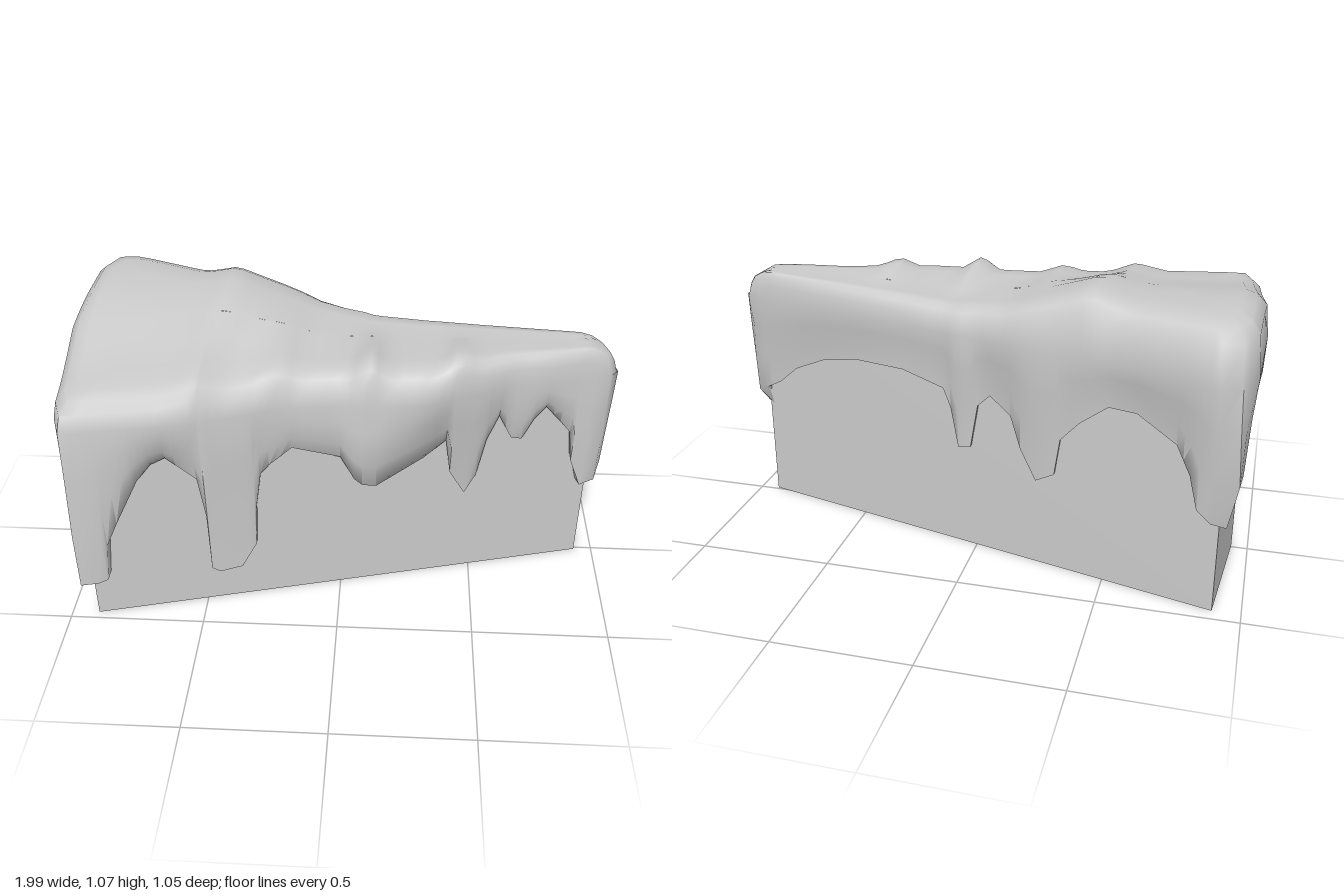
import * as THREE from 'three';
import { toCreasedNormals } from 'three/addons/utils/BufferGeometryUtils.js';

const SLOPE = 0.2514, TIP = 0.93, MID = 0.01;
const { lerp, clamp, smoothstep } = THREE.MathUtils;

// piecewise linear lookup in [x, value] pairs sorted by x
function lookup(pairs, x) {
  if (x <= pairs[0][0]) return pairs[0][1];
  for (let i = 1; i < pairs.length; i++) {
    const [x0, v0] = pairs[i - 1], [x1, v1] = pairs[i];
    if (x <= x1) return lerp(v0, v1, (x - x0) / (x1 - x0));
  }
  return pairs[pairs.length - 1][1];
}

// lower edge of the icing along each wall: [position, height]
const frontEdge = [
  [-0.87, 0.18], [-0.835, 0.19], [-0.82, 0.35], [-0.78, 0.44], [-0.7, 0.6], [-0.65, 0.66], [-0.6, 0.68],
  [-0.5, 0.58], [-0.475, 0.42], [-0.47, 0.17], [-0.44, 0.15], [-0.36, 0.16], [-0.305, 0.26], [-0.3, 0.42],
  [-0.28, 0.57], [-0.25, 0.6], [-0.17, 0.66], [0, 0.6], [0.05, 0.5], [0.08, 0.47], [0.13, 0.46], [0.3, 0.56],
  [0.38, 0.62], [0.4, 0.48], [0.46, 0.37], [0.5, 0.45], [0.53, 0.6], [0.57, 0.7], [0.62, 0.6], [0.66, 0.59],
  [0.7, 0.67], [0.74, 0.72], [0.8, 0.65], [0.84, 0.6], [0.855, 0.48]];
const backEdge = [
  [-0.87, 0.34], [-0.82, 0.38], [-0.79, 0.5], [-0.74, 0.6], [-0.6, 0.68], [-0.5, 0.68], [-0.4, 0.6],
  [-0.33, 0.52], [-0.31, 0.38], [-0.24, 0.34], [-0.18, 0.45], [-0.14, 0.57], [-0.06, 0.63], [-0.01, 0.58],
  [0.02, 0.41], [0.07, 0.4], [0.1, 0.55], [0.13, 0.62], [0.3, 0.66], [0.5, 0.66], [0.65, 0.63], [0.78, 0.57], [0.86, 0.5]];
const endEdge = [
  [-0.4, 0.38], [-0.33, 0.5], [-0.2, 0.58], [0.01, 0.65], [0.2, 0.66], [0.33, 0.5], [0.39, 0.38], [0.42, 0.2]];

// how far the icing stands off the front wall at its edge, belly and shoulder
const frontLow = [[-0.87, 0.05], [-0.6, 0.02], [-0.45, 0.035], [-0.3, 0.03], [-0.2, 0.01], [0, 0.02], [0.1, 0.025],
  [0.3, 0.03], [0.46, 0.015], [0.6, 0.02], [0.85, 0.04]];
const frontBelly = [[-0.87, 0.055], [-0.6, 0.045], [-0.4, 0.04], [-0.2, 0.025], [0, 0.05], [0.1, 0.095], [0.3, 0.065],
  [0.46, 0.035], [0.6, 0.03], [0.74, 0.04], [0.85, 0.05]];
const frontBulge = [[-0.87, 0.045], [-0.5, 0.07], [-0.35, 0.05], [-0.2, 0.03], [0, 0.05], [0.08, 0.08], [0.3, 0.11],
  [0.45, 0.08], [0.6, 0.04], [0.75, 0.05], [0.9, 0.05]];
const backBulge = [[-0.8, 0.07], [-0.48, 0.04], [-0.2, 0.07], [0, 0.045], [0.06, 0.055], [0.12, 0.04], [0.35, 0.035],
  [0.6, 0.05], [0.9, 0.07]];

// heights of the top along the wrinkled front and the raised back
const frontTop = [[-0.93, 0.96], [-0.6, 0.96], [-0.48, 0.988], [-0.38, 0.955], [-0.29, 0.96], [-0.22, 0.985],
  [-0.13, 0.955], [0.03, 0.955], [0.1, 1.0], [0.17, 0.955], [0.34, 0.955], [0.41, 0.99], [0.49, 0.96],
  [0.88, 0.965], [0.96, 0.92], [1, 0.88]];
const backTop = [[-0.9, 1.045], [-0.55, 1.035], [-0.42, 1.07], [-0.3, 1.03], [-0.1, 0.965], [0.1, 0.94],
  [0.37, 0.95], [0.88, 0.965], [0.96, 0.92], [1, 0.88]];
function topHeight(x, z) {
  const across = (z - MID) / (SLOPE * Math.max(TIP - x, 0) + 0.06);
  return lerp(lookup(frontTop, x), lookup(backTop, x), smoothstep(-across, -0.75, 0.45));
}

// walk round the wedge: wall point, lower edge, shoulder bulge, outward direction, edge and belly bulge
function perimeter() {
  const keys = [];
  const add = (x, z, b, w, nx, nz, low = 0.2 * w + 0.008, belly = 0.5 * w) =>
    keys.push([x, z, b, w, nx, nz, low, belly]);
  add(-0.9, 0.47, 0.18, 0.06, -0.4, 0.7, 0.08, 0.08);
  for (const [x, b] of frontEdge) {
    const thin = lerp(1, 0.4, smoothstep(b, 0.45, 0.66));
    add(x, MID + SLOPE * (TIP - x), b, lookup(frontBulge, x), 0, 1, lookup(frontLow, x) * thin, lookup(frontBelly, x));
  }
  add(0.89, 0.02, 0.36, 0.05, 0.3, 0.95, 0.04, 0.05);
  add(0.92, 0.013, 0.38, 0.055, 0.7, 0.7, 0.05, 0.055);
  add(TIP, MID, 0.44, 0.06, 1, 0, 0.045, 0.05);
  add(0.92, 0.007, 0.46, 0.065, 0.6, -0.8);
  for (const [x, b] of [...backEdge].reverse()) add(x, MID - SLOPE * (TIP - x), b, lookup(backBulge, x), 0, -1);
  add(-0.9, -0.45, 0.34, 0.075, -0.5, -0.65, 0.05, 0.11);
  for (const [z, b] of endEdge) {
    add(-0.94 + 0.04 * Math.abs(z - MID) / 0.46, z, b, z < 0 ? 0.055 - 0.06 * z : 0.055, -1, 0, 0.025, 0.05);
  }

  // split long steps so the top wrinkles have enough points
  const points = [];
  keys.forEach((a, i) => {
    const c = keys[(i + 1) % keys.length];
    const n = Math.max(1, Math.ceil(Math.hypot(a[0] - c[0], a[1] - c[1]) / 0.045));
    for (let k = 0; k < n; k++) points.push(a.map((v, j) => lerp(v, c[j], k / n)));
  });
  return points;
}

// cross-section of the icing from the wall, over the shoulder, to the spine
function section([x, z, b, w, nx, nz, low, belly]) {
  const out = (d, y) => [x + nx * d, y, z + nz * d];
  const rings = [
    out(-0.01, b + 0.01), out(low, b + 0.005), out(belly, lerp(b, 0.85, 0.35)),
    out(lerp(belly, w, 0.6), lerp(b, 0.85, 0.7)), out(w, 0.85)];
  const sx = clamp(x, -0.6, 0.82);
  const [ex, , ez] = out(w, 0);
  for (const [t, drop] of [[0.03, 0.05], [0.11, 0.016], [0.22, 0], [0.45, 0], [0.7, 0], [1, 0]]) {
    const px = lerp(ex, sx, t), pz = lerp(ez, MID - 0.02, t);
    rings.push([px, topHeight(px, pz) - drop, pz]);
  }
  return rings;
}

function icingGeometry() {
  const columns = perimeter().map(section);
  const n = columns.length, m = columns[0].length;
  const index = [];
  for (let i = 0; i < n; i++) {
    for (let j = 0; j < m - 1; j++) {
      const a = i * m + j, b = ((i + 1) % n) * m + j;
      index.push(a, b, b + 1, a, b + 1, a + 1);
    }
  }
  const geometry = new THREE.BufferGeometry();
  geometry.setAttribute('position', new THREE.Float32BufferAttribute(columns.flat(2), 3));
  geometry.setIndex(index);
  return toCreasedNormals(geometry, 1.2);
}

export function createModel() {
  const group = new THREE.Group();
  group.name = 'cakeSlice';
  const grey = new THREE.MeshStandardMaterial({ color: 0xcccccc, side: THREE.DoubleSide });
  grey.name = 'plain grey';

  // wedge of sponge with a slightly pointed outer end
  const outline = new THREE.Shape([[TIP, -MID], [-0.9, 0.45], [-0.94, -MID], [-0.9, -0.47]]
    .map(([x, y]) => new THREE.Vector2(x, y)));
  const wedge = new THREE.ExtrudeGeometry(outline, { depth: 0.85, bevelEnabled: false });
  wedge.rotateX(-Math.PI / 2);
  const sponge = new THREE.Mesh(wedge, grey);
  sponge.name = 'sponge';

  // dripping icing over the top
  const icing = new THREE.Mesh(icingGeometry(), grey);
  icing.name = 'icing';

  group.add(sponge, icing);
  return group;
}
